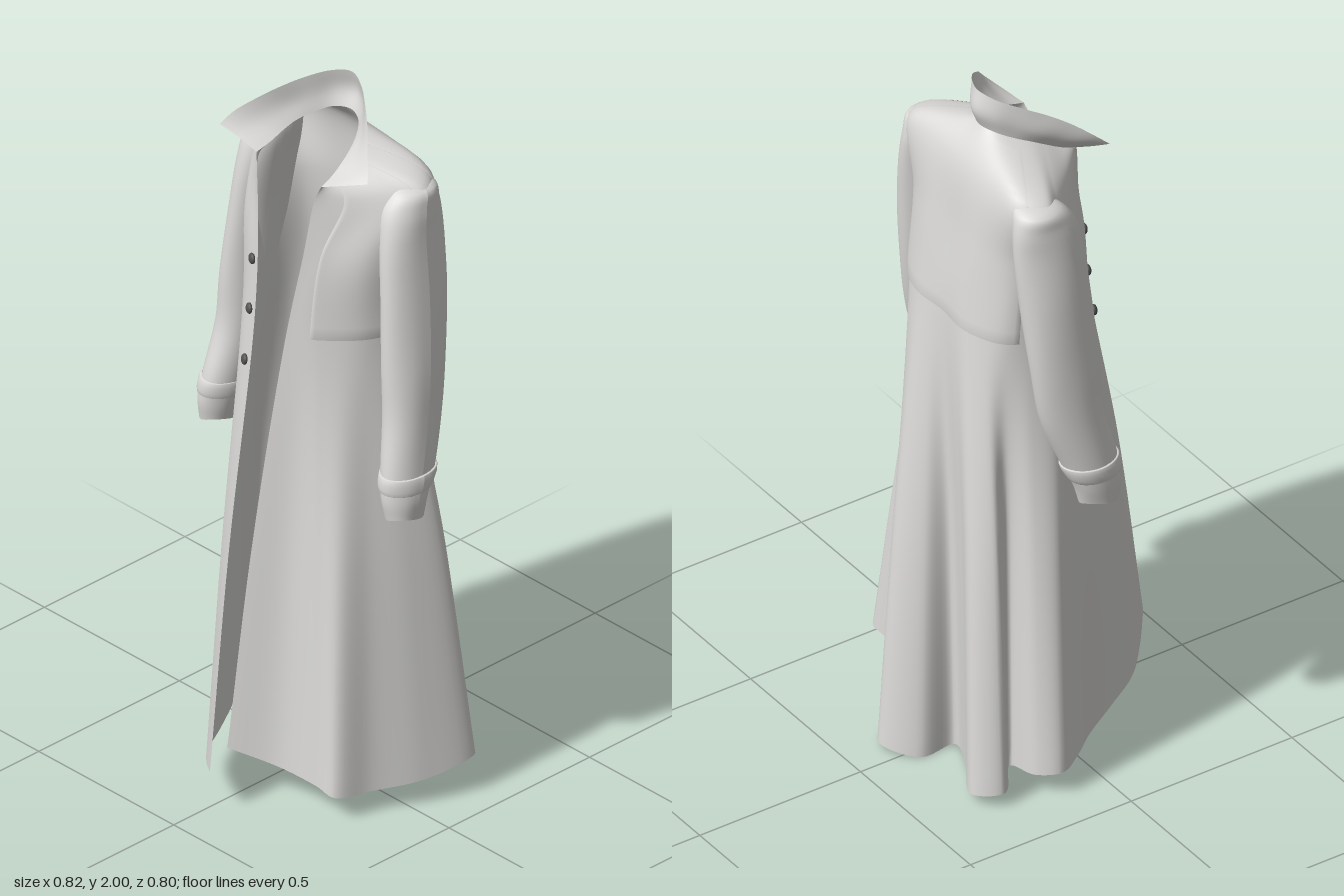
import * as THREE from 'three';

const cloth = new THREE.MeshStandardMaterial({ color: 0xdbdad8, side: THREE.DoubleSide });
cloth.name = 'pale grey cloth';
const horn = new THREE.MeshStandardMaterial({ color: 0x525252 });
horn.name = 'dark grey buttons';

const V = (x, y, z) => new THREE.Vector3(x, y, z);
const curve = (points) => new THREE.CatmullRomCurve3(points.map((p) => V(...p)));

// A smooth sheet: u runs along each curve, v runs from curve to curve
function sheet(rows) {
  const cache = new Map();
  return (u, v) => {
    if (!cache.has(u)) cache.set(u, new THREE.CatmullRomCurve3(rows.map((r) => r.getPoint(u))));
    return cache.get(u).getPoint(v);
  };
}

// Point of a sheet pushed outward along its normal
function lifted(surface, u, v, d) {
  const e = 0.004;
  const at = (a, b) => surface(THREE.MathUtils.clamp(a, 0, 1), THREE.MathUtils.clamp(b, 0, 1));
  const du = at(u + e, v).sub(at(u - e, v));
  const dv = at(u, v + e).sub(at(u, v - e));
  return surface(u, v).addScaledVector(dv.cross(du).normalize(), d);
}

// The v at which a sheet reaches a given height
function vAtHeight(surface, u, y) {
  let low = 0, high = 0.8;
  for (let i = 0; i < 24; i++) {
    const mid = (low + high) / 2;
    if (surface(u, mid).y < y) low = mid; else high = mid;
  }
  return low;
}

// Grid mesh over a function (i, j in 0..1)
function grid(name, f, nu, nv) {
  const pos = [], index = [];
  for (let j = 0; j <= nv; j++) {
    for (let i = 0; i <= nu; i++) pos.push(...f(i / nu, j / nv).toArray());
  }
  for (let j = 0; j < nv; j++) {
    for (let i = 0; i < nu; i++) {
      const a = j * (nu + 1) + i, b = a + nu + 1;
      index.push(a, b, a + 1, a + 1, b, b + 1);
    }
  }
  const g = new THREE.BufferGeometry();
  g.setAttribute('position', new THREE.Float32BufferAttribute(pos, 3));
  g.setIndex(index);
  g.computeVertexNormals();
  const mesh = new THREE.Mesh(g, cloth);
  mesh.name = name;
  return mesh;
}

// Layered cloth panel on a sheet: border turned down, top melting into the shoulder
function panel(name, surface, u0, u1, v0, v1, d, nu, nv) {
  return grid(name, (i, j) => {
    const edge = i === 0 || i === 1 || j === 0;
    const a = THREE.MathUtils.clamp((i * nu - 1) / (nu - 2), 0, 1);
    const b = Math.max((j * nv - 1) / (nv - 1), 0);
    const lift = d * (1 - 0.8 * THREE.MathUtils.smoothstep(b, 0.3, 0.8));
    return lifted(surface, u0 + (u1 - u0) * a, v0 + (v1 - v0) * b, edge ? 0.0005 : lift);
  }, nu, nv);
}

// Mirrors a half section (front edge to centre back) into a whole one
const whole = (half) => [
  ...half.map(([x, y, z]) => [-x, y, z]),
  ...half.slice(0, -1).reverse(),
];

// Torso section: height, half width, back, front edge z, right and left edge x
function torso(y, w, back, zf, xr, xl) {
  const pts = whole([
    [0, y, zf], [0.56 * w, y, zf * 0.7], [0.88 * w, y, zf * 0.15], [w, y, -0.08],
    [0.86 * w, y, back * 0.78], [0.45 * w, y, back * 0.98], [0, y, back * 0.96],
  ]);
  pts[0][0] = xr;
  pts[12][0] = xl;
  return curve(pts);
}

// Folded hem, from the right front edge round the back to the left front edge
const hem = curve([
  [0.03, 0.13, 0.40], [-0.05, 0.095, 0.335], [-0.12, 0.07, 0.265], [-0.19, 0.06, 0.15],
  [-0.265, 0.06, 0.03], [-0.33, 0.065, -0.05], [-0.378, 0.07, -0.13], [-0.335, 0.06, -0.185],
  [-0.24, 0.04, -0.20], [-0.335, 0.04, -0.28], [-0.28, 0.03, -0.345], [-0.15, 0.015, -0.275],
  [-0.04, 0.005, -0.235], [-0.035, 0.0, -0.335], [0.06, 0.015, -0.40], [0.135, 0.02, -0.33],
  [0.19, 0.035, -0.21], [0.28, 0.08, -0.175], [0.405, 0.105, -0.185], [0.375, 0.075, -0.04],
  [0.31, 0.065, 0.09], [0.275, 0.07, 0.19], [0.21, 0.08, 0.195], [0.09, 0.09, 0.21],
  [-0.025, 0.13, 0.285],
]);
const waist = torso(1.35, 0.252, -0.25, 0.165, -0.05, 0.065);

// Middle of the skirt, where the folds are already more than half open
const skirt = {
  getPoint(u) {
    const top = waist.getPoint(u), low = hem.getPoint(u);
    const p = top.clone().lerp(low, 0.57);
    p.y = (top.y + low.y) / 2;
    return p;
  },
};

const shoulder = whole([
  [0.108, 1.765, 0.1], [0.18, 1.765, 0.025], [0.255, 1.772, -0.06], [0.298, 1.772, -0.115],
  [0.25, 1.79, -0.175], [0.13, 1.805, -0.185], [0, 1.8, -0.186],
]);
const neck = whole([
  [0.12, 1.80, 0.09], [0.115, 1.815, 0.045], [0.108, 1.838, 0.0], [0.098, 1.855, -0.035],
  [0.078, 1.87, -0.075], [0.046, 1.885, -0.113], [0, 1.89, -0.13],
]);

const coat = sheet([
  hem, skirt, waist,
  torso(1.6, 0.262, -0.22, 0.13, -0.072, 0.095),
  curve(shoulder),
  curve(neck),
]);

// Turned-up collar
const collarMiddle = [
  [-0.175, 1.83, 0.105], [-0.165, 1.85, 0.065], [-0.145, 1.875, 0.02], [-0.12, 1.895, -0.03],
  [-0.09, 1.915, -0.075], [-0.05, 1.935, -0.125], [0, 1.94, -0.148],
  [0.05, 1.935, -0.125], [0.092, 1.915, -0.085], [0.125, 1.89, -0.045],
  [0.155, 1.868, -0.005], [0.178, 1.843, 0.03], [0.18, 1.82, 0.065],
];
const collarEdge = [
  [-0.22, 1.855, 0.125], [-0.205, 1.885, 0.09], [-0.172, 1.918, 0.045], [-0.138, 1.946, -0.005],
  [-0.1, 1.97, -0.062], [-0.052, 1.99, -0.115], [0, 2.0, -0.135],
  [0.055, 1.99, -0.115], [0.1, 1.968, -0.085], [0.145, 1.935, -0.05],
  [0.185, 1.9, -0.012], [0.218, 1.868, 0.018], [0.24, 1.84, 0.04],
];

// Sleeve rings: x, y, z, half width, half depth
const sleeveRings = [
  [0.34, 0.875, 0.0, 0.043, 0.056], [0.335, 0.93, -0.005, 0.053, 0.068],
  [0.326, 1.0, -0.022, 0.059, 0.08], [0.313, 1.15, -0.052, 0.061, 0.09],
  [0.303, 1.3, -0.068, 0.062, 0.099], [0.285, 1.5, -0.083, 0.062, 0.103],
  [0.266, 1.66, -0.092, 0.059, 0.1], [0.256, 1.735, -0.102, 0.059, 0.088],
  [0.248, 1.778, -0.115, 0.055, 0.064], [0.2, 1.8, -0.12, 0.015, 0.015],
];
const cuffRings = [
  [0.332, 0.952, -0.01, 0.053, 0.07], [0.332, 0.954, -0.01, 0.059, 0.076],
  [0.328, 0.998, -0.022, 0.063, 0.085], [0.328, 1.0, -0.022, 0.056, 0.078],
];

function ringSheet(rings, side) {
  return sheet(rings.map(([x, y, z, a, b], k) => {
    const pts = [];
    for (let i = 0; i <= 16; i++) {
      const t = -(i / 16) * Math.PI * 2;
      const wrinkle = 1 + 0.02 * Math.sin(3 * t + k * 2);
      // slanted opening at the wrist
      const dip = k === 0 && rings.length > 4 ? 0.008 * Math.sin(2 * t) : 0;
      // the right arm hangs slightly wider and further back
      pts.push([side * x + (side < 0 ? -0.013 : -0.004) + Math.cos(t) * a * wrinkle, y + dip,
        z + (side < 0 && y > 1.1 ? -0.015 : 0) + Math.sin(t) * b * wrinkle]);
    }
    return curve(pts);
  }));
}

function createSleeve(side) {
  const group = new THREE.Group();
  group.name = side > 0 ? 'leftSleeve' : 'rightSleeve';
  group.add(grid('sleeve', ringSheet(sleeveRings, side), 32, 45));
  group.add(grid('cuffStrap', ringSheet(cuffRings, side), 32, 9));
  return group;
}

export function createModel() {
  const model = new THREE.Group();
  model.name = 'longCoat';

  model.add(grid('coatBody', coat, 168, 60));
  model.add(grid('collar', sheet([curve(neck), curve(collarMiddle), curve(collarEdge)]), 60, 10));
  model.add(createSleeve(1), createSleeve(-1));

  // Back yoke and left chest flap
  model.add(panel('backYoke', coat, 0.31, 0.69, 0.402, 0.97, 0.007, 40, 24));
  model.add(panel('chestFlap', coat, 0.79, 0.94, 0.408, 0.97, 0.008, 16, 24));

  // Buttons down the right front edge
  for (const y of [1.51, 1.37, 1.23]) {
    const u = 0.029, v = vAtHeight(coat, u, y);
    const button = new THREE.Mesh(new THREE.SphereGeometry(0.015, 16, 10), horn);
    button.name = 'button';
    button.position.copy(lifted(coat, u, v, 0.004));
    button.lookAt(lifted(coat, u, v, 0.1));
    button.scale.z = 0.55;
    model.add(button);
  }
  return model;
}
